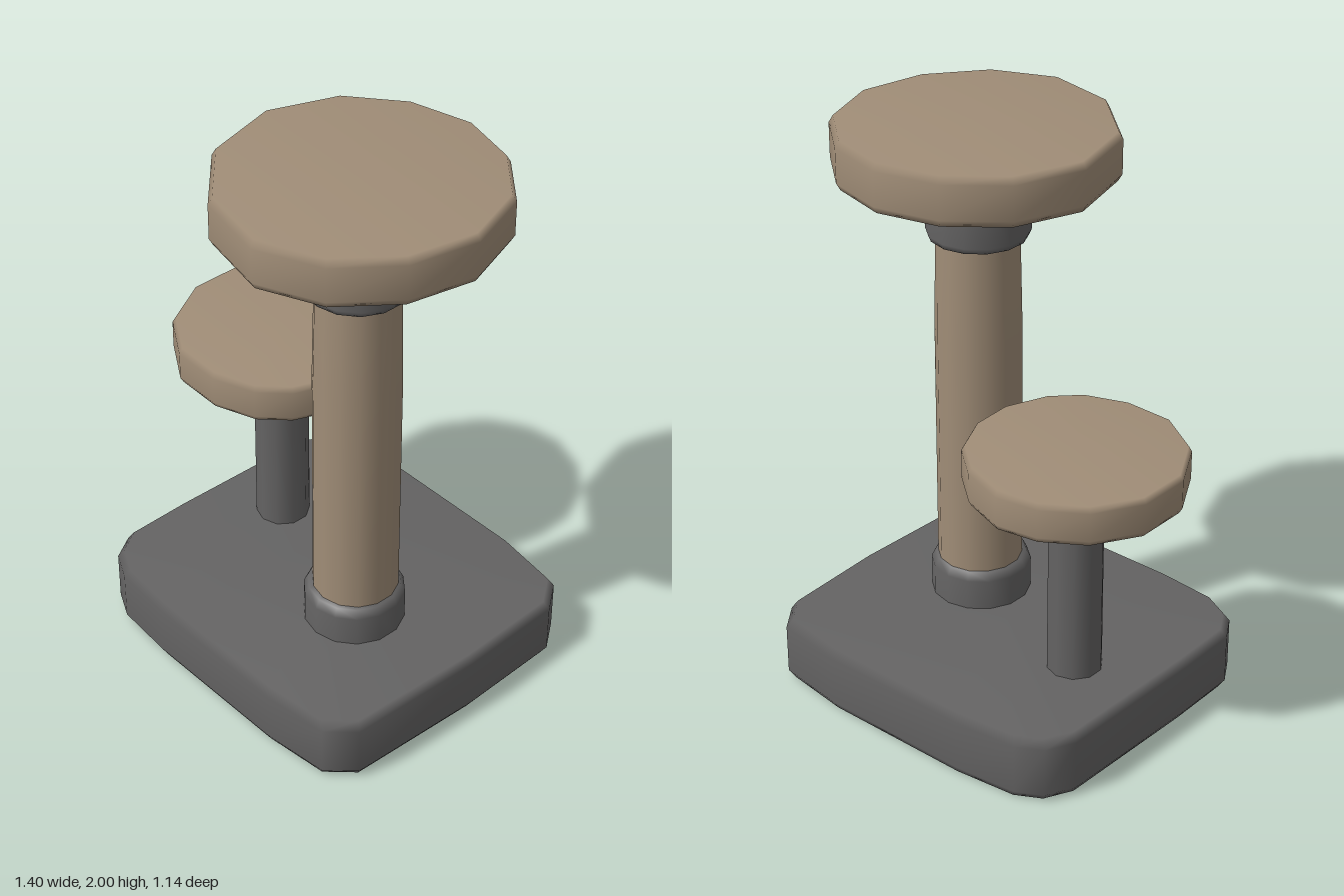
import * as THREE from 'three';

const tan = new THREE.MeshStandardMaterial({ color: 0xa08d77 });
tan.name = 'tan plush';
const grey = new THREE.MeshStandardMaterial({ color: 0x646363 });
grey.name = 'dark grey plush';

// Padded slab: an [x, z] outline lofted through [y, inset scale] rings, with fan caps
function slab(outline, rings, [cx, cz]) {
  const n = outline.length, pos = [], idx = [];
  for (const [y, s] of rings)
    for (const [x, z] of outline) pos.push(cx + (x - cx) * s, y, cz + (z - cz) * s);
  const last = (rings.length - 1) * n, bottom = rings.length * n, top = bottom + 1;
  pos.push(cx, rings[0][0], cz, cx, rings[rings.length - 1][0], cz);
  for (let i = 0; i < n; i++) {
    const j = (i + 1) % n;
    for (let r = 0; r < last; r += n)
      idx.push(r + i, r + n + i, r + j, r + j, r + n + i, r + n + j);
    idx.push(bottom, i, j, top, last + j, last + i);
  }
  const g = new THREE.BufferGeometry();
  g.setAttribute('position', new THREE.Float32BufferAttribute(pos, 3));
  g.setIndex(idx);
  g.computeVertexNormals();
  return g;
}

const pad = (y0, y1, b, s) => [[y0, s], [y0 + b, 1], [y1 - b, 1], [y1, s]];

// Round post or collar from a [radius, y] profile
function turned(profile, x, z, sides) {
  const g = new THREE.LatheGeometry(profile.map(([r, y]) => new THREE.Vector2(r, y)), sides);
  return g.translate(x, 0, z);
}

export function createModel() {
  const model = new THREE.Group();
  model.name = 'catTree';
  const add = (name, geometry, material) => {
    const mesh = new THREE.Mesh(geometry, material);
    mesh.name = name;
    model.add(mesh);
  };

  // Outlines run clockwise as seen from above
  const base = [
    [-0.24, -0.575], [0.33, -0.575], [0.58, -0.54], [0.655, -0.44], [0.672, -0.05],
    [0.655, 0.45], [0.57, 0.54], [0.33, 0.567], [-0.24, 0.567], [-0.46, 0.55],
    [-0.56, 0.5], [-0.615, 0.41], [-0.62, 0.17], [-0.61, -0.4], [-0.56, -0.5], [-0.47, -0.55],
  ];
  const lowPerch = [
    [-0.32, -0.465], [-0.16, -0.41], [-0.04, -0.31], [0.025, -0.17], [0.03, -0.02],
    [-0.03, 0.13], [-0.12, 0.22], [-0.27, 0.275], [-0.45, 0.27], [-0.61, 0.17],
    [-0.705, 0], [-0.705, -0.19], [-0.61, -0.35], [-0.47, -0.44],
  ];
  const highPerch = [
    [-0.26, 0.04], [-0.17, -0.2], [0.01, -0.345], [0.235, -0.4], [0.45, -0.345], [0.62, -0.2],
    [0.7, 0.03], [0.65, 0.27], [0.5, 0.46], [0.28, 0.555], [0.02, 0.5], [-0.19, 0.31],
  ];
  add('base', slab(base, pad(0, 0.24, 0.03, 0.97), [0.03, 0]), grey);
  add('lowPerch', slab(lowPerch, pad(0.93, 1.07, 0.02, 0.97), [-0.34, -0.09]), tan);
  add('highPerch', slab(highPerch, pad(1.83, 2, 0.025, 0.97), [0.23, 0.08]), tan);

  // Posts
  add('tallPost', turned([[0.148, 0.22], [0.148, 1.25], [0.14, 1.65]], 0.228, 0.08, 14), tan);
  add('shortPost', turned([[0.096, 0.22], [0.094, 0.95]], -0.345, -0.09, 10), grey);

  // Collars at both ends of the tall post
  add('lowerCollar', turned(
    [[0.175, 0.22], [0.175, 0.35], [0.16, 0.38], [0.13, 0.382]], 0.228, 0.085, 14), grey);
  add('upperCollar', turned(
    [[0.13, 1.598], [0.168, 1.6], [0.176, 1.62], [0.176, 1.77], [0.16, 1.815], [0.13, 1.845]],
    0.23, 0.085, 14), grey);
  return model;
}
